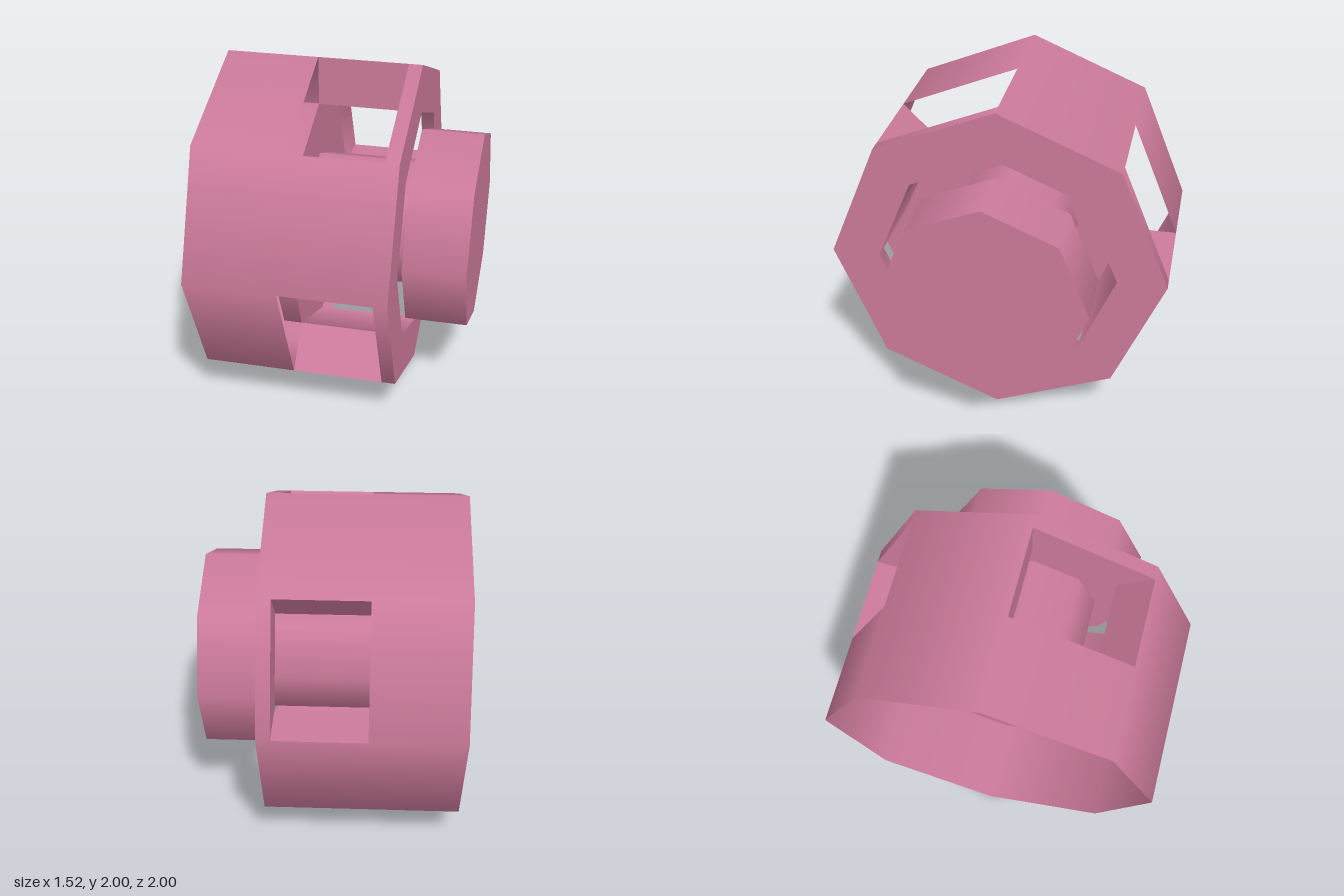
import * as THREE from 'three';
import { mergeGeometries } from 'three/addons/utils/BufferGeometryUtils.js';

const material = new THREE.MeshStandardMaterial({ color: 0xcc7a9b, side: THREE.DoubleSide });
const EIGHTH = Math.PI / 4;

// Revolves [radius, x] points about the x axis with eight sides;
// each profile segment is its own band, so edges between bands stay sharp.
function revolve(points, firstSide = 0, sides = 8) {
  const bands = [];
  for (let i = 0; i + 1 < points.length; i++) {
    const pair = [points[i], points[i + 1]].map(([r, x]) => new THREE.Vector2(r, x));
    bands.push(new THREE.LatheGeometry(pair, sides, firstSide * EIGHTH, sides * EIGHTH));
  }
  return mergeGeometries(bands).rotateZ(-Math.PI / 2);
}

function part(name, geometry) {
  const mesh = new THREE.Mesh(geometry, material);
  mesh.name = name;
  return mesh;
}

export function createModel() {
  const model = new THREE.Group();
  model.name = 'octagonalHousingWithSpool';

  const back = -0.76, windowBack = -0.22, windowFront = 0.31, front = 0.39;
  const outer = 1, bore = 0.71;

  // Housing: thin open skirt at one end, thick ring at the other
  const housing = new THREE.Group();
  housing.name = 'housing';
  housing.add(part('skirt', revolve([[outer, back], [outer, windowBack]])));
  housing.add(part('endRing', revolve([
    [bore, windowFront], [outer, windowFront], [outer, front], [bore, front], [bore, windowFront],
  ])));

  // Four thick blocks on alternate sides leave four windows between them
  for (let k = 0; k < 4; k++) {
    const side = 2 * k + 1;
    const block = new THREE.Group();
    block.name = 'wallBlock';
    block.add(part('blockFaces', revolve([
      [bore, windowFront], [bore, windowBack], [outer, windowBack], [outer, windowFront],
    ].reverse().map(([r, x]) => [r, x]).reverse(), side, 1)));
    // Radial cheeks that frame the windows
    for (const edge of [side, side + 1]) {
      const cheek = new THREE.PlaneGeometry(windowFront - windowBack, outer - bore);
      cheek.translate((windowFront + windowBack) / 2, (outer + bore) / 2, 0);
      cheek.rotateX(-Math.PI / 2 + Math.PI - edge * -EIGHTH);
      block.add(part('windowCheek', cheek));
    }
    housing.add(block);
  }
  model.add(housing);

  // Spool: inner flange, hollow stem and outer knob
  const stem = 0.39, knob = 0.605, flangeBack = -0.33, knobEnd = 0.76;
  const spool = new THREE.Group();
  spool.name = 'spool';
  spool.add(part('flange', revolve([
    [stem, flangeBack], [bore, flangeBack], [bore, windowBack], [stem, windowBack],
  ])));
  spool.add(part('stem', revolve([[stem, flangeBack], [stem, front]])));
  spool.add(part('knob', revolve([
    [0, front + 0.005], [knob, front + 0.005], [knob, knobEnd], [0, knobEnd],
  ])));
  model.add(spool);

  model.position.y = 1;
  const root = new THREE.Group();
  root.name = 'model';
  root.add(model);
  return root;
}
